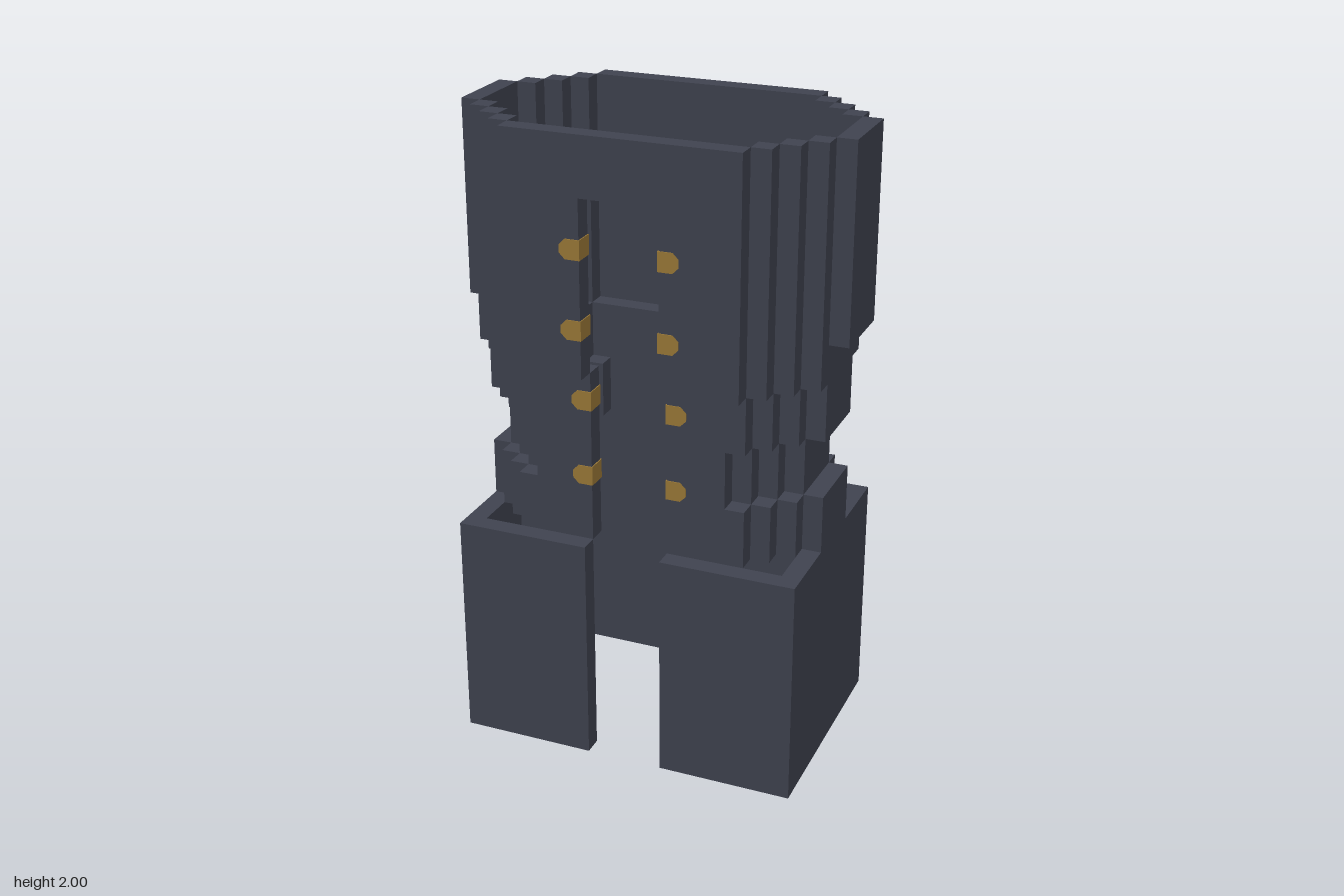
import * as THREE from 'three';

const U = 2 / 33; // one block

export function createModel() {
  const model = new THREE.Group();
  model.name = 'blockCoat';
  const cloth = new THREE.MeshStandardMaterial({ name: 'darkSlateCloth', color: 0x404350 });
  const gold = new THREE.MeshStandardMaterial({ name: 'gold', color: 0x9c7a38 });

  // Box between two corners, given in blocks
  function block(parent, name, x0, x1, y0, y1, z0, z1) {
    const mesh = new THREE.Mesh(
      new THREE.BoxGeometry((x1 - x0) * U, (y1 - y0) * U, (z1 - z0) * U), cloth);
    mesh.position.set((x0 + x1) / 2 * U, (y0 + y1) / 2 * U, (z0 + z1) / 2 * U);
    mesh.name = name;
    parent.add(mesh);
  }

  // Flat outline in blocks, extruded along z
  function plate(parent, name, points, z0, z1, material) {
    const shape = new THREE.Shape(points.map(([x, y]) => new THREE.Vector2(x * U, y * U)));
    const geometry = new THREE.ExtrudeGeometry(shape, { depth: (z1 - z0) * U, bevelEnabled: false });
    const mesh = new THREE.Mesh(geometry, material);
    mesh.position.z = z0 * U;
    mesh.name = name;
    parent.add(mesh);
  }

  function section(name) {
    const group = new THREE.Group();
    group.name = name;
    model.add(group);
    return group;
  }

  // Stepped wall: w = half width of the flat panels, z = their outer face
  function steppedWall(group, y0, y1, w, z, steps) {
    block(group, 'backPanel', -w, w, y0, y1, -z, -z + 1);
    for (let i = 0; i < steps; i++) {
      for (const front of [1, -1]) {
        const outer = front * (z - 1 - i), inner = front * (z - 2 - i);
        const z0 = Math.min(outer, inner), z1 = Math.max(outer, inner);
        block(group, 'leftCornerStep', w + i, w + i + 1, y0, y1, z0, z1);
        block(group, 'rightCornerStep', -w - i - 1, -w - i, y0, y1, z0, z1);
      }
    }
  }

  function sides(group, x0, x1, y0, y1, z) {
    block(group, 'leftSide', x0, x1, y0, y1, -z, z);
    block(group, 'rightSide', -x1, -x0, y0, y1, -z, z);
  }

  function frontHalves(group, w, y0, y1, z) {
    block(group, 'leftFront', 2, w, y0, y1, z - 1, z);
    block(group, 'rightFront', -w, -2, y0, y1, z - 1, z);
  }

  // Skirt: open rectangular ring with a front slit
  const skirt = section('skirt');
  block(skirt, 'skirtBack', -9, 9, 0, 12, -6, -5);
  sides(skirt, 8, 9, 0, 12, 5);
  frontHalves(skirt, 9, 0, 12, 6);

  // Belly, pinched waist and ribs
  for (const [name, y0, y1, w] of [['belly', 12, 15, 6], ['waist', 15, 18, 5], ['ribs', 18, 21, 6]]) {
    const group = section(name);
    steppedWall(group, y0, y1, w, 5, 2);
    sides(group, w + 2, w + 3, y0, y1, 2);
    frontHalves(group, w, y0, y1, 5);
  }

  // Chest: wider, with the slit closed at the top
  const chest = section('chest');
  steppedWall(chest, 21, 33, 6, 6, 3);
  sides(chest, 8, 9, 21, 23, 2);
  sides(chest, 9, 10, 23, 33, 2);
  plate(chest, 'chestFront',
    [[-6, 21], [-2, 21], [-2, 30], [2, 30], [2, 21], [6, 21], [6, 33], [-6, 33]], 5, 6, cloth);

  // Buttons along both edges of the slit, passing through the cloth
  const buttons = section('buttons');
  const e = 0.05, c = 0.3;
  for (const [y, z] of [[15, 5], [19, 5], [23, 6], [27, 6]]) {
    for (const s of [1, -1]) {
      const outline = [[2 - e, y], [3 - c, y], [3, y + c], [3, y + 1 - c], [3 - c, y + 1], [2 - e, y + 1]]
        .map(([px, py]) => [s * px, py]);
      plate(buttons, s > 0 ? 'leftButton' : 'rightButton', outline, z - 1 - e, z + e, gold);
    }
  }
  return model;
}
